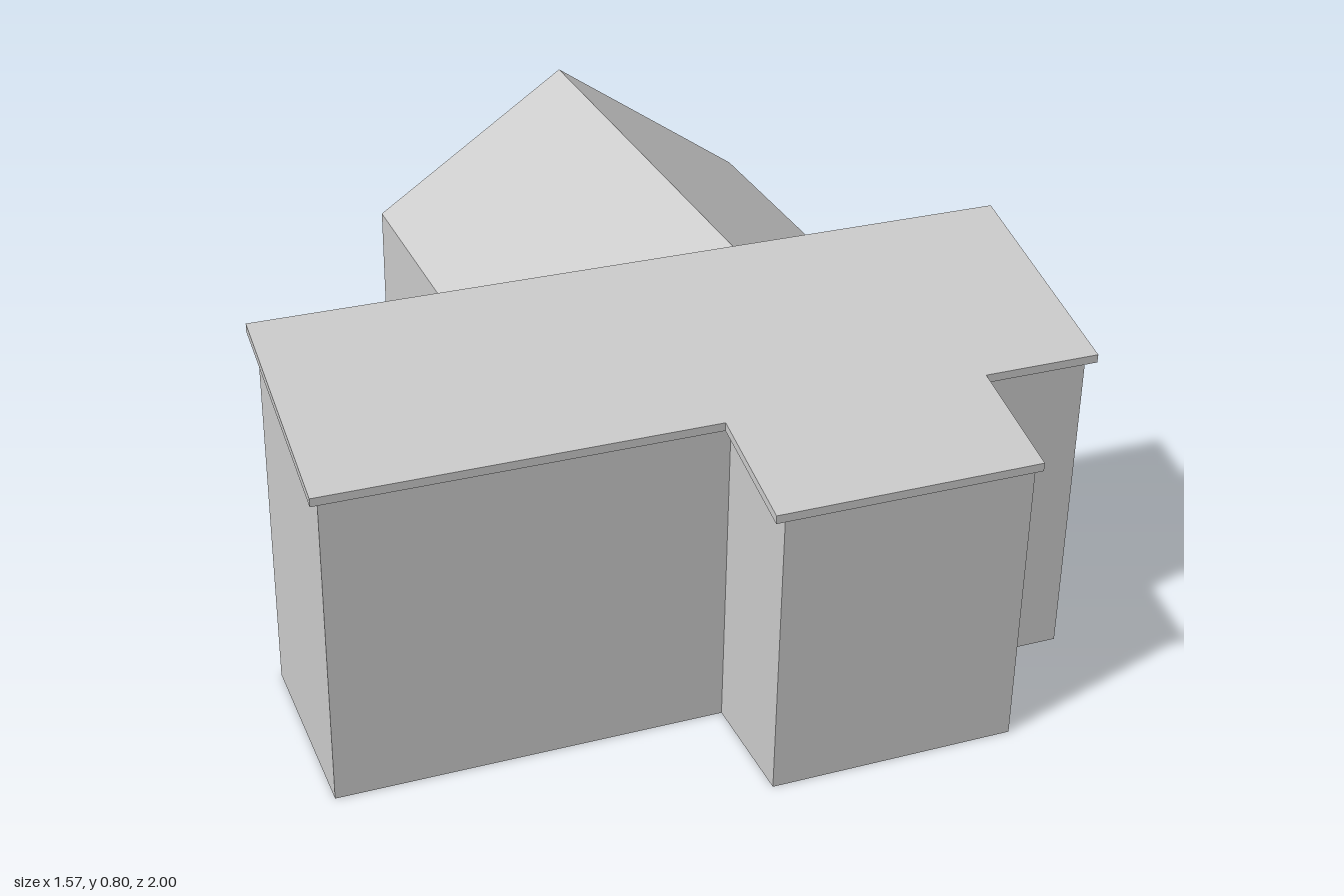
import * as THREE from 'three';

const T = 0.02; // wall thickness
const material = new THREE.MeshStandardMaterial({ color: 0xcccccc, flatShading: true, side: THREE.DoubleSide });

const makeShape = (points, holes = []) => {
  const shape = new THREE.Shape(points.map(p => new THREE.Vector2(...p)));
  for (const h of holes) shape.holes.push(new THREE.Path(h.map(p => new THREE.Vector2(...p))));
  return shape;
};
const rect = (x0, y0, x1, y1) => [[x0, y0], [x1, y0], [x1, y1], [x0, y1]];

// Rectangle with chamfered corners
const softRect = (x0, y0, x1, y1, c) => [
  [x0 + c, y0], [x1 - c, y0], [x1, y0 + c], [x1, y1 - c],
  [x1 - c, y1], [x0 + c, y1], [x0, y1 - c], [x0, y0 + c]];

const extrude = (points, holes, depth) =>
  new THREE.ExtrudeGeometry(makeShape(points, holes), { depth, bevelEnabled: false });

// Wall drawn in (x, y), running back to front from z
const wallXY = (points, holes, z, depth = T) => extrude(points, holes, depth).translate(0, 0, z);

// Wall drawn in (z, y), its +x face at x
const wallZY = (points, holes, x) => extrude(points, holes, T).rotateY(-Math.PI / 2).translate(x, 0, 0);

// Plate drawn in (x, z), its top at y
const plate = (points, y, depth = T) => extrude(points, [], depth).rotateX(Math.PI / 2).translate(0, y, 0);

// Height of the sloping roof's top surface
const roofTop = z => 0.8 - 0.277 * (z - 0.315);
const under = z => roofTop(z) - 0.014;

// T-shaped outline shared by floors and roof
const tee = (x0, x1, z0, z1, a0, a1, z2) =>
  [[x0, z0], [x1, z0], [x1, z1], [a1, z1], [a1, z2], [a0, z2], [a0, z1], [x0, z1]];

export function createModel() {
  const model = new THREE.Group();
  const add = (name, geometry, parent = model) => {
    const mesh = new THREE.Mesh(geometry, material);
    mesh.name = name;
    parent.add(mesh);
  };

  // Tall front building
  const house = new THREE.Group();
  house.name = 'frontBuilding';
  model.add(house);
  const X = 0.77, back = 0.32, front = 0.745, a0 = 0.02, a1 = 0.525, porch = 0.995;

  add('rearWall', wallXY(rect(-X + 0.005, 0, X - 0.005, under(back + T)), [
    rect(-0.643, 0.525, -0.285, 0.655), // upper window
    softRect(-0.482, 0.02, -0.384, 0.237, 0.006) // back door
  ], back), house);

  const sideProfile = (z0, z1) => [[z0, 0], [z1, 0], [z1, under(z1)], [z0, under(z0)]];
  add('leftWall', wallZY(sideProfile(back, front), [softRect(0.636, 0.032, 0.682, 0.077, 0.008)], X), house);
  add('rightWall', wallZY(sideProfile(back, front), [], -X + T), house);

  for (const [name, x0, x1] of [['frontWallRight', -X + 0.005, a0 + 0.005], ['frontWallLeft', a1 - 0.005, X - 0.005]])
    add(name, wallXY(rect(x0, 0, x1, under(front)), [], front - T), house);

  // Projecting front bay
  add('bayLeftWall', wallZY(sideProfile(front - T, porch), [], a1), house);
  add('bayRightWall', wallZY(sideProfile(front - T, porch), [], a0 + T), house);
  add('bayFrontWall', wallXY(rect(a0 + 0.005, 0, a1 - 0.005, under(porch)), [], porch - T), house);

  // Ground and upper floors
  const floorOutline = tee(-X + 0.01, X - 0.01, back + 0.01, front - 0.01, a0 + 0.01, a1 - 0.01, porch - 0.01);
  add('groundFloor', plate(floorOutline, T), house);
  add('upperFloor', plate(floorOutline, 0.36), house);

  // Single-pitch roof, tilted by moving each vertex to the slope
  const roof = plate(tee(-0.788, 0.785, 0.312, 0.765, 0, 0.54, 1), 0, 0.017);
  const pos = roof.attributes.position;
  for (let i = 0; i < pos.count; i++) pos.setY(i, pos.getY(i) + roofTop(pos.getZ(i)));
  roof.computeVertexNormals();
  add('slopingRoof', roof, house);

  // Gabled rear wing
  const wing = new THREE.Group();
  wing.name = 'rearWing';
  model.add(wing);
  const gable = t => [
    [-0.17 + t, t], [X - t, t], [X - t, 0.37 - t * 0.5], [0.3, 0.69 - t * 1.2], [-0.17 + t, 0.37 - t * 0.5]];
  add('wingShell', wallXY(gable(0), [gable(T)], -1 + T, back + 1 - T), wing);
  add('gableWall', wallXY(gable(0), [rect(0.015, 0.03, 0.585, 0.365)], -1), wing);

  return model;
}
